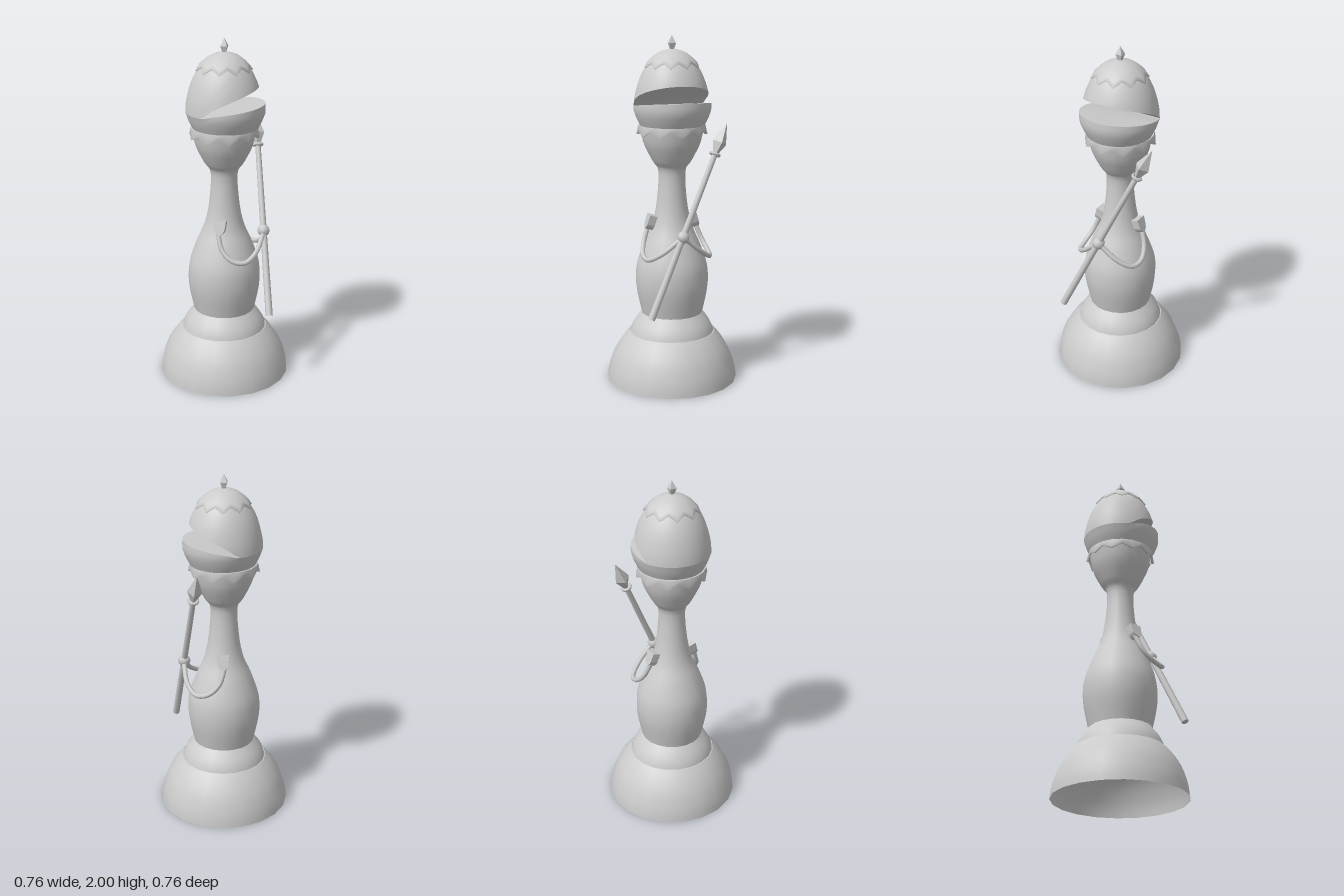
import * as THREE from 'three';

const mat = new THREE.MeshStandardMaterial({ color: 0xcccccc, side: THREE.DoubleSide });
const flatMat = new THREE.MeshStandardMaterial({ color: 0xcccccc, side: THREE.DoubleSide, flatShading: true });

function add(parent, name, geo, material = mat) {
  const m = new THREE.Mesh(geo, material);
  m.name = name;
  parent.add(m);
  return m;
}

// Smooth turned part from a few [radius, height] points
function turned(points, steps) {
  const pts = points.map(([r, y]) => new THREE.Vector2(r, y));
  const profile = steps ? new THREE.SplineCurve(pts).getPoints(steps) : pts;
  return new THREE.LatheGeometry(profile, 20);
}

// Closed skin over stacked rings; ring(i, j) returns [radius, y]
function skin(rows, n, ring) {
  const pos = [], idx = [];
  for (let j = 0; j < rows; j++) for (let i = 0; i < n; i++) {
    const a = (i / n) * Math.PI * 2;
    const [r, y] = ring(i, j);
    pos.push(r * Math.cos(a), y, r * Math.sin(a));
    if (j === rows - 1) continue;
    const p = j * n + i, q = j * n + (i + 1) % n;
    idx.push(p, p + n, q, q, p + n, q + n);
  }
  return finish(pos, idx);
}

function finish(pos, idx) {
  const g = new THREE.BufferGeometry();
  g.setAttribute('position', new THREE.Float32BufferAttribute(pos, 3));
  g.setIndex(idx);
  g.computeVertexNormals();
  return g;
}

// Head radius at a height
const HEAD = [[1.5, 0.18], [1.54, 0.2], [1.59, 0.217], [1.64, 0.214], [1.7, 0.201], [1.75, 0.186],
  [1.8, 0.163], [1.84, 0.138], [1.875, 0.105], [1.9, 0.07], [1.912, 0.04], [1.92, 0]];
function headRadius(y) {
  for (let k = 1; k < HEAD.length; k++) {
    const [y0, r0] = HEAD[k - 1], [y1, r1] = HEAD[k];
    if (y <= y1) return r0 + (r1 - r0) * (y - y0) / (y1 - y0);
  }
  return 0;
}

// Mouth opening: 0 at the hinge, 1 at the +x side
const N = 40;
const opening = i => Math.max(0, (0.2 * Math.cos((i / N) * Math.PI * 2) + 0.07) / 0.27);
const upperLip = i => 1.59 + 0.14 * opening(i) ** 0.6;
const lowerLip = i => 1.59 + 0.05 * opening(i) ** 0.6;
const jawRadius = (i, y) => headRadius(y) * (1 + 0.07 * opening(i));

// Surface ruled across z between the two sides of a lip
function mouthSurface(lip, radius) {
  const pos = [], idx = [];
  for (let i = 0; i <= N / 2; i++) {
    const a = (i / N) * Math.PI * 2, y = lip(i), r = radius(i, y);
    pos.push(r * Math.cos(a), y, r * Math.sin(a), r * Math.cos(a), y, -r * Math.sin(a));
    if (i < N / 2) idx.push(2 * i, 2 * i + 1, 2 * i + 2, 2 * i + 1, 2 * i + 3, 2 * i + 2);
  }
  return finish(pos, idx);
}

function buildHead() {
  const head = new THREE.Group();
  head.name = 'head';
  add(head, 'upperHead', skin(13, N, (i, j) => {
    const lip = upperLip(i);
    const y = j === 12 ? 1.92 : lip + (1.92 - lip) * Math.sin((j / 12) * Math.PI / 2);
    return [headRadius(y), y];
  }));
  add(head, 'upperMouth', mouthSurface(upperLip, (i, y) => headRadius(y)));
  add(head, 'lowerJaw', skin(6, N, (i, j) => {
    const y = 1.5 + (lowerLip(i) - 1.5) * j / 5;
    return [jawRadius(i, y), y];
  }));
  add(head, 'lowerMouth', mouthSurface(lowerLip, jawRadius));

  // Zigzag cap on the crown, with a thin edge
  add(head, 'crownCap', skin(8, 20, (i, j) => {
    const edge = i % 2 ? 1.817 : 1.846;
    if (j === 0) return [headRadius(edge) - 0.004, edge];
    const y = edge + (1.92 - edge) * Math.sin(((j - 1) / 6) * Math.PI / 2);
    return [j === 7 ? 0 : headRadius(y) + 0.008, y + 0.004];
  }));

  // Four-sided finial
  const lower = add(head, 'finialBase', new THREE.CylinderGeometry(0.027, 0.009, 0.045, 4), flatMat);
  lower.position.y = 1.9325;
  const tip = add(head, 'finialTip', new THREE.ConeGeometry(0.027, 0.045, 4), flatMat);
  tip.position.y = 1.9775;
  lower.rotation.y = tip.rotation.y = Math.PI / 4;
  return head;
}

function buildSpear() {
  const spear = new THREE.Group();
  spear.name = 'spear';
  const from = new THREE.Vector3(0.3, 0.455, 0.205), to = new THREE.Vector3(0.16, 1.345, -0.205);
  const len = from.distanceTo(to);
  spear.position.copy(from);
  spear.quaternion.setFromUnitVectors(new THREE.Vector3(0, 1, 0), to.clone().sub(from).normalize());
  add(spear, 'shaft', new THREE.CylinderGeometry(0.016, 0.021, len, 10)).position.y = len / 2;
  const ring = add(spear, 'spearRing', new THREE.TorusGeometry(0.024, 0.01, 6, 10));
  ring.rotation.x = Math.PI / 2;
  ring.position.y = len;
  add(spear, 'bladeBase', new THREE.CylinderGeometry(0.042, 0.014, 0.07, 4), flatMat).position.y = len + 0.035;
  add(spear, 'bladeTip', new THREE.ConeGeometry(0.042, 0.12, 4), flatMat).position.y = len + 0.13;
  return spear;
}

function buildArm(side) {
  const arm = new THREE.Group();
  arm.name = side > 0 ? 'frontArm' : 'backArm';

  // Shoulder plate with a tapered lower end
  const s = new THREE.Shape();
  s.moveTo(-0.036, 0.04);
  s.lineTo(0.036, 0.04);
  s.lineTo(0.03, -0.015);
  s.quadraticCurveTo(0.02, -0.045, 0, -0.045);
  s.quadraticCurveTo(-0.02, -0.045, -0.03, -0.015);
  const geo = new THREE.ExtrudeGeometry(s, { depth: 0.045, bevelEnabled: false, curveSegments: 4 });
  geo.translate(0, 0, -0.0225);
  const plate = add(arm, 'shoulder', geo);
  plate.position.set(0, 0.943, side * 0.128);
  plate.rotation.x = -side * 0.3;

  // Hanging arm, curving round to the spear
  const path = [[-0.01, 0.92, 0.14], [0.02, 0.825, 0.175], [0.08, 0.77, 0.193], [0.15, 0.757, 0.18],
    [0.205, 0.8, 0.115], [0.23, 0.88, 0.02]].map(([x, y, z]) => new THREE.Vector3(x, y, z * side));
  add(arm, 'armTube', new THREE.TubeGeometry(new THREE.CatmullRomCurve3(path), 24, 0.014, 8));
  return arm;
}

export function createModel() {
  const model = new THREE.Group();
  model.name = 'chessBishop';

  // Hollow bell base and pedestal
  add(model, 'base', turned([[0.38, 0], [0.37, 0.07], [0.337, 0.165], [0.29, 0.24], [0.25, 0.285]], 10));
  const ceiling = add(model, 'baseCeiling', new THREE.CircleGeometry(0.25, 20));
  ceiling.rotation.x = Math.PI / 2;
  ceiling.position.y = 0.284;
  add(model, 'pedestal', turned([[0.245, 0.285], [0.235, 0.315], [0.212, 0.355], [0.175, 0.4]], 6));

  // Body, neck and collar
  add(model, 'body', turned([[0.178, 0.4], [0.203, 0.52], [0.21, 0.61], [0.2, 0.7], [0.16, 0.815],
    [0.115, 0.92], [0.088, 1.05], [0.077, 1.23], [0.113, 1.295], [0.16, 1.39], [0.18, 1.48]], 36));
  add(model, 'collar', skin(3, 20, (i, j) => {
    const low = i % 2 === 0;
    if (j === 0) return [0.185, low ? 1.445 : 1.473];
    return j === 1 ? [low ? 0.202 : 0.195, low ? 1.445 : 1.473] : [0.19, 1.5];
  }));
  const top = add(model, 'collarTop', new THREE.CircleGeometry(0.19, 20));
  top.rotation.x = -Math.PI / 2;
  top.position.y = 1.5;

  model.add(buildHead(), buildArm(1), buildArm(-1), buildSpear());

  // Hand gripping the spear
  add(model, 'hand', new THREE.SphereGeometry(0.036, 8, 6)).position.set(0.23, 0.895, 0);
  return model;
}
